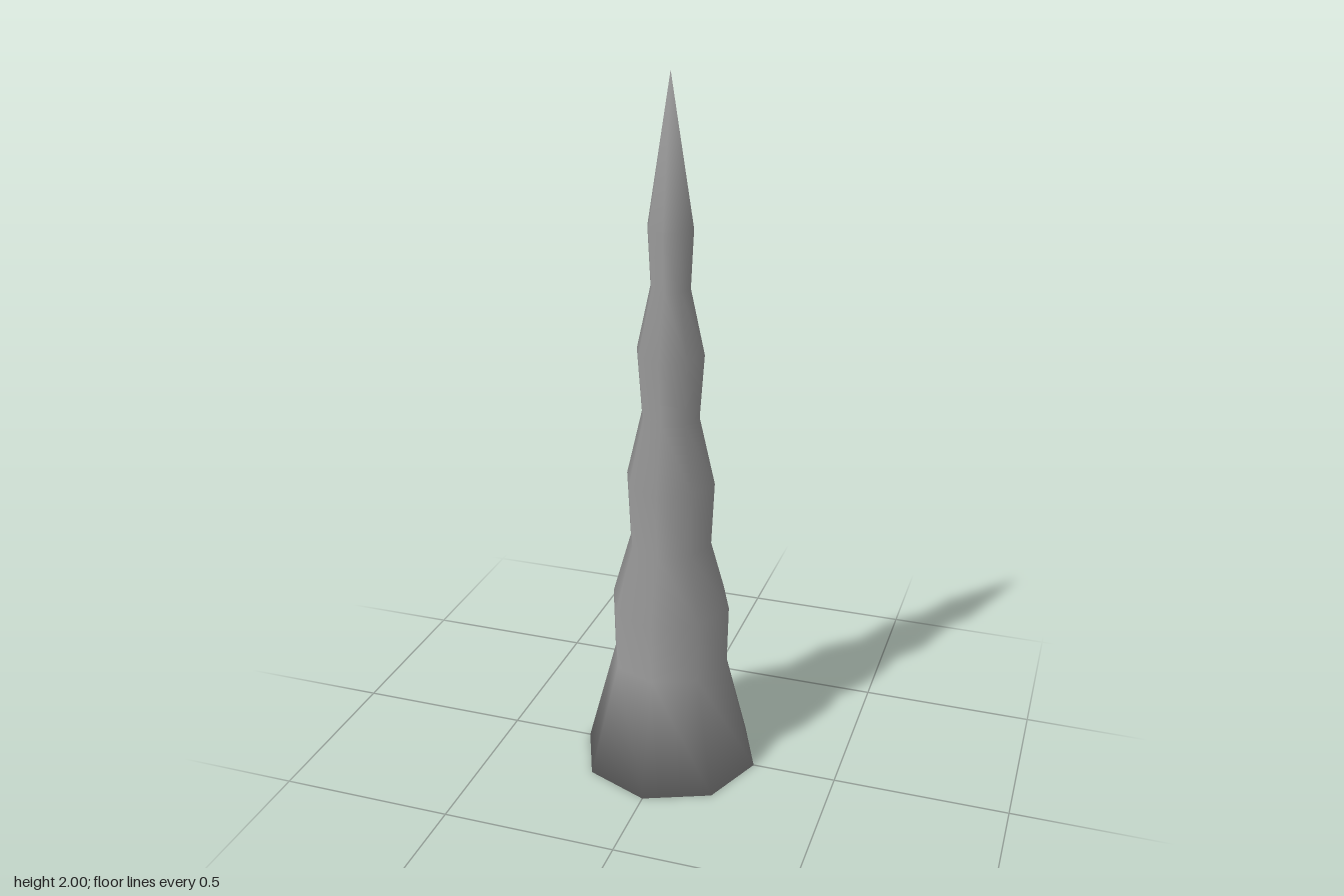
import * as THREE from 'three';

export function createModel() {
  const group = new THREE.Group();

  // Profile from the closed underside up: a flared foot, then four tiers and a point
  const profile = [
    [0, 0], [0.258, 0],
    [0.17, 0.33], [0.174, 0.51],
    [0.119, 0.7], [0.128, 0.89],
    [0.083, 1.08], [0.096, 1.26],
    [0.056, 1.44], [0.064, 1.6],
    [0, 2],
  ].map(([r, y]) => new THREE.Vector2(r, y));

  // Eight-sided smooth spike, with corners on the x and z axes
  const sides = 8;
  const geometry = new THREE.LatheGeometry(profile, sides);

  // Soft shading: the foot's rim blends into the underside, the point faces straight up
  const normal = geometry.attributes.normal;
  const rim = 1, tip = profile.length - 1;
  for (let i = 0; i <= sides; i++) {
    const angle = (i / sides) * Math.PI * 2;
    const start = i * profile.length;
    normal.setXYZ(start + rim, 0.456 * Math.sin(angle), -0.89, 0.456 * Math.cos(angle));
    normal.setXYZ(start + tip, 0, 1, 0);
  }

  const spike = new THREE.Mesh(geometry, new THREE.MeshStandardMaterial({ color: 0x969696 }));
  spike.name = 'tieredSpike';
  group.add(spike);

  return group;
}
